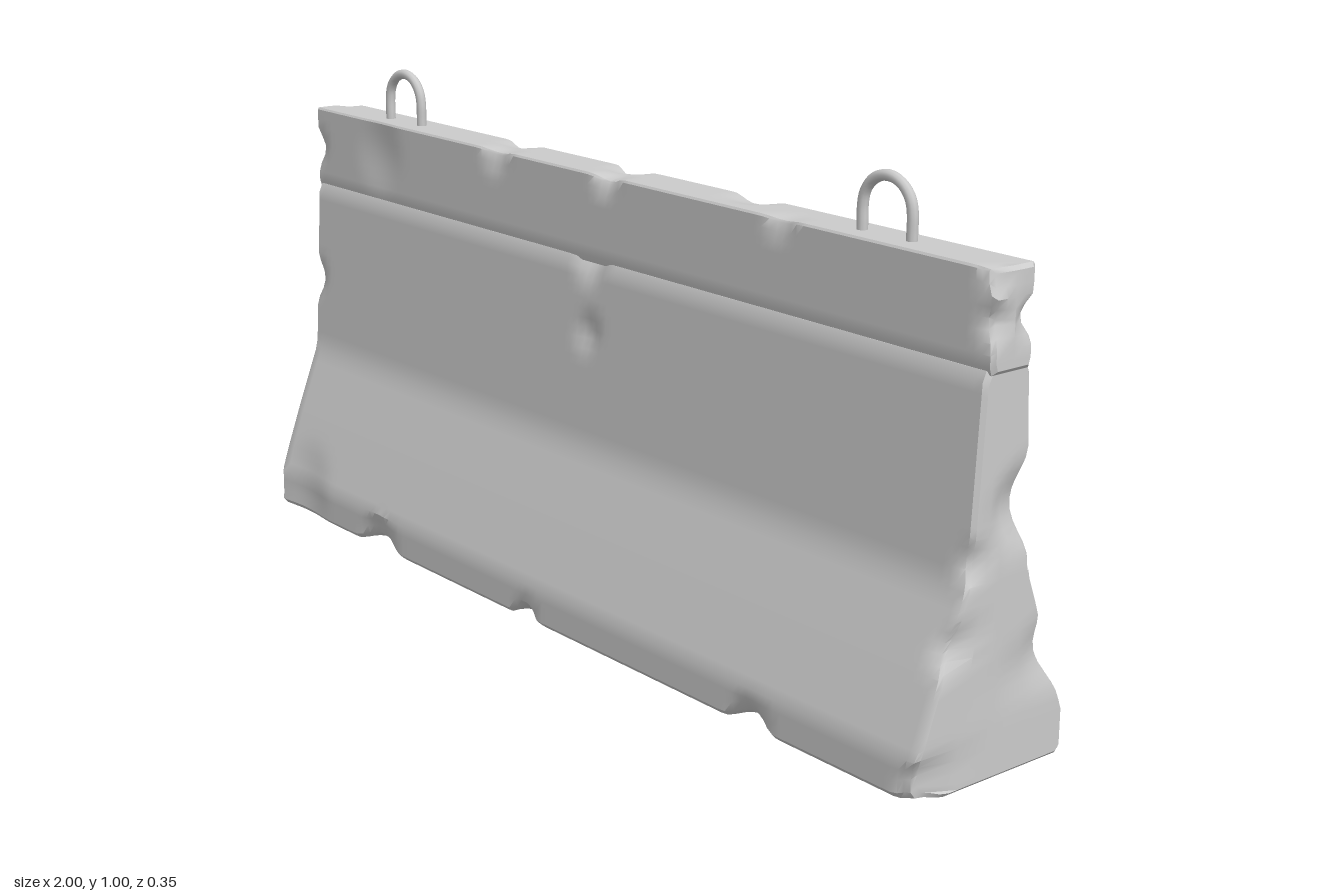
import * as THREE from 'three';
import { toCreasedNormals } from 'three/addons/utils/BufferGeometryUtils.js';

const concrete = new THREE.MeshStandardMaterial({ color: 0xcccccc });

// Closed, evenly subdivided outline [z, y] from a half profile [halfWidth, y].
function outline(half, step) {
  const corners = [...half, ...half.slice().reverse().map(([w, y]) => [-w, y])];
  const pts = [];
  corners.forEach(([z, y], i) => {
    const [z2, y2] = corners[(i + 1) % corners.length];
    const n = Math.max(1, Math.round(Math.hypot(z2 - z, y2 - y) / step));
    for (let k = 0; k < n; k++) pts.push([z + (z2 - z) * k / n, y + (y2 - y) * k / n]);
  });
  return pts;
}

// Worn concrete block: the outline swept along x, with softened ends and chips.
// Each chip is [x, y, z, radius, dx, dy, dz], a soft push around a point.
function wornBlock(name, half, length, chips) {
  const ring = outline(half, 0.02);
  const yMid = (half[0][1] + half[half.length - 1][1]) / 2;
  const L = length / 2, bevel = 0.007, steps = 110;
  const stations = [[-L, 0], [-L, 0.5], [-L, 1, bevel]];
  for (let i = 0; i <= steps; i++) stations.push([(L - bevel) * (2 * i / steps - 1), 1]);
  stations.push([L, 1, bevel], [L, 0.5], [L, 0]);

  const pos = [], index = [], p = new THREE.Vector3();
  for (const [x, s, inset = s < 1 ? bevel : 0] of stations) {
    for (const [z, y] of ring) {
      p.set(x, y - Math.sign(y - yMid) * Math.min(inset, Math.abs(y - yMid)),
        (z - Math.sign(z) * Math.min(inset, Math.abs(z))) * s);
      const q = p.clone();
      for (const [cx, cy, cz, r, dx, dy, dz] of chips) {
        const d = Math.hypot(p.x - cx, p.y - cy, p.z - cz) / r;
        if (d < 1) {
          const f = (1 - d * d) ** 2;
          q.x += dx * f; q.y += dy * f; q.z += dz * f;
        }
      }
      pos.push(q.x, q.y, q.z);
    }
  }
  const n = ring.length;
  for (let i = 0; i < stations.length - 1; i++) {
    for (let j = 0; j < n; j++) {
      const a = i * n + j, d = i * n + (j + 1) % n, b = a + n, c = d + n;
      index.push(a, b, c, a, c, d);
    }
  }
  const geo = new THREE.BufferGeometry();
  geo.setAttribute('position', new THREE.Float32BufferAttribute(pos, 3));
  geo.setIndex(index);
  const mesh = new THREE.Mesh(toCreasedNormals(geo, 0.6), concrete);
  mesh.name = name;
  return mesh;
}

// Lifting eye: an arch of round bar with its legs sunk in the concrete.
function liftingEye(name, x) {
  const r = 0.058, yc = 0.932;
  const pts = [[-r, 0.86], [-r, 0.9]];
  for (let i = 0; i <= 8; i++) {
    const a = Math.PI * (1 - i / 8);
    pts.push([r * Math.cos(a), yc + r * Math.sin(a)]);
  }
  pts.push([r, 0.9], [r, 0.86]);
  const path = new THREE.CatmullRomCurve3(pts.map(([px, py]) => new THREE.Vector3(px, py, 0)));
  const mesh = new THREE.Mesh(new THREE.TubeGeometry(path, 40, 0.01, 10), concrete);
  mesh.name = name;
  mesh.position.x = x;
  return mesh;
}

export function createModel() {
  const group = new THREE.Group();
  group.name = 'concreteBarrier';

  // Flared body
  const bodyProfile = [[0.168, 0.004], [0.177, 0.014], [0.177, 0.08], [0.128, 0.215],
    [0.08, 0.34], [0.073, 0.37], [0.054, 0.705], [0.046, 0.722]];
  group.add(wornBlock('body', bodyProfile, 1.985, [
    // bottom edges
    [-0.6, 0, 0.17, 0.09, 0, 0.02, -0.02], [-0.08, 0, 0.17, 0.05, 0, 0.02, -0.02],
    [0.58, 0, 0.17, 0.07, 0, 0.02, -0.02], [-0.9, 0.06, 0.17, 0.12, 0, 0, -0.012],
    [0.03, 0, -0.17, 0.06, 0, 0.02, 0.02], [-0.45, 0, -0.17, 0.05, 0, 0.02, 0.02],
    [0.5, 0, -0.17, 0.06, 0, 0.015, 0.02],
    // upper edges and worn middle
    [-0.02, 0.72, 0.05, 0.06, 0, -0.01, -0.012], [-0.02, 0.58, 0.06, 0.05, 0, 0, -0.012],
    [0, 0.71, -0.05, 0.09, 0, -0.02, 0.014], [0.45, 0.72, -0.05, 0.08, 0, -0.014, 0.01],
    [-0.55, 0.72, -0.05, 0.07, 0, -0.014, 0.01], [0.8, 0.7, -0.05, 0.1, 0, -0.01, 0.012],
    // end corners
    [1, 0.48, -0.06, 0.1, -0.02, 0, 0.025], [1, 0.26, 0.11, 0.06, -0.02, 0, -0.012],
    [1, 0.4, 0.07, 0.05, -0.015, 0, -0.012], [1, 0.03, 0.17, 0.07, -0.02, 0.012, -0.012],
    [1, 0.2, -0.13, 0.09, -0.02, 0, 0.014], [-1, 0.51, 0.065, 0.06, 0.018, 0, -0.01],
    [-1, 0.45, -0.065, 0.1, 0.025, 0, 0.015], [-1, 0.04, -0.17, 0.07, 0.02, 0.01, 0.014],
  ]));

  // Straight top rail, separated from the body by a fine groove
  const railProfile = [[0.043, 0.715], [0.047, 0.728], [0.047, 0.885], [0.044, 0.889]];
  group.add(wornBlock('topRail', railProfile, 2, [
    [0.02, 0.89, 0.047, 0.05, 0, -0.012, -0.012], [-0.33, 0.89, 0.047, 0.06, 0, -0.008, -0.012],
    [-0.75, 0.82, 0.047, 0.1, 0, 0, -0.008], [0.5, 0.89, 0.047, 0.05, 0, -0.006, -0.01],
    [0, 0.89, -0.047, 0.06, 0, -0.012, 0.014], [0.35, 0.89, -0.047, 0.07, 0, -0.01, 0.01],
    [-0.35, 0.89, -0.047, 0.06, 0, -0.01, 0.01], [0, 0.73, -0.047, 0.07, 0, 0.01, 0.01],
    [1, 0.8, 0.045, 0.045, -0.018, 0, -0.012], [1, 0.8, -0.045, 0.045, -0.018, 0, 0.012],
    [1, 0.88, 0.045, 0.05, -0.016, -0.004, -0.006], [-1, 0.88, -0.045, 0.05, 0.02, -0.008, 0.01],
    [-1, 0.8, 0.045, 0.05, 0.015, 0, -0.01], [-1, 0.79, -0.045, 0.05, 0.018, 0, 0.01],
  ]));

  group.add(liftingEye('rightLiftingEye', -0.716), liftingEye('leftLiftingEye', 0.711));
  return group;
}
